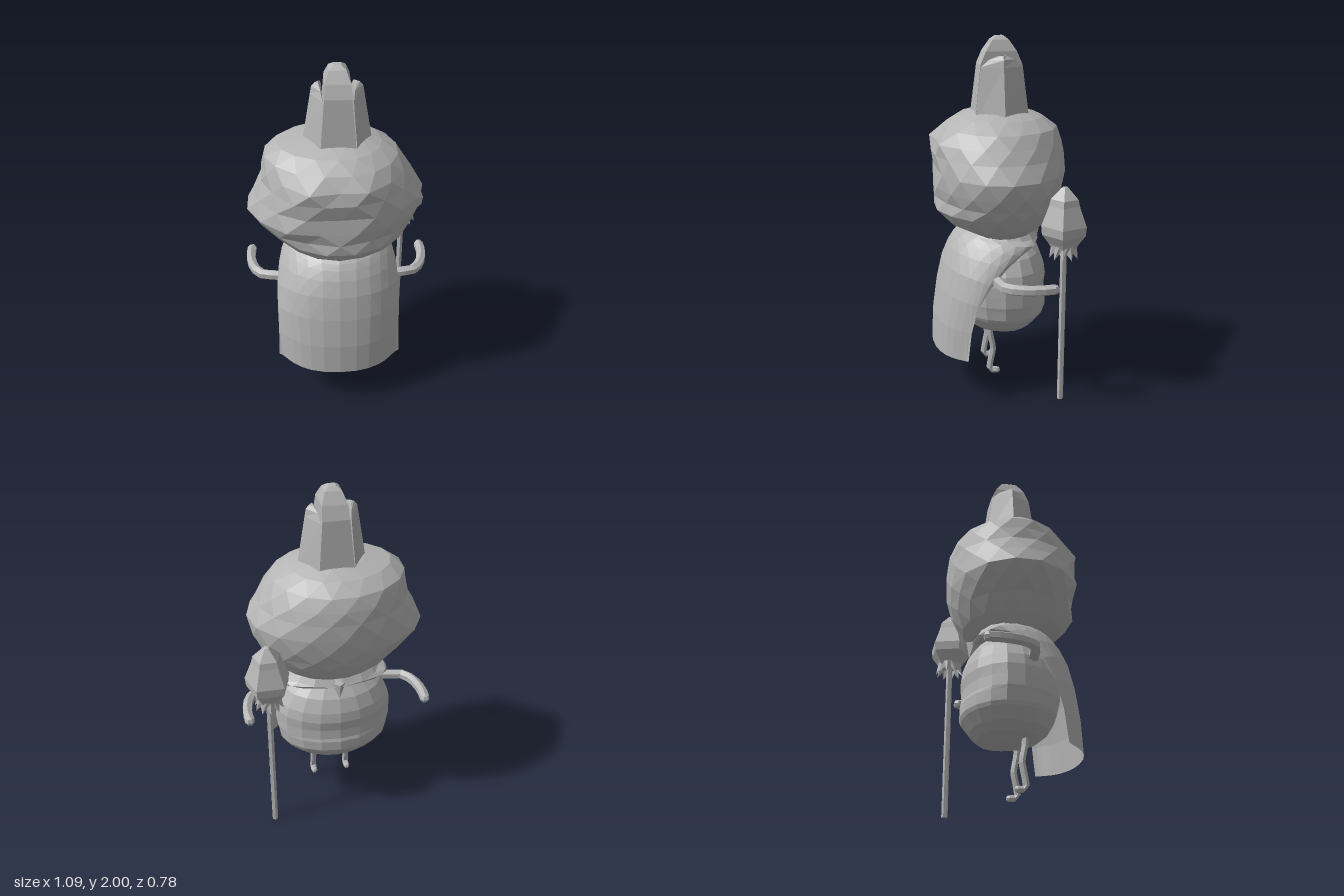
import * as THREE from 'three';

// Surface through a stack of cross-sections (lists of Vector3, lowest first).
function loft(rows, closed = true) {
  const n = rows[0].length, pos = rows.flat().flatMap(p => [p.x, p.y, p.z]), idx = [];
  for (let j = 0; j < rows.length - 1; j++) {
    for (let i = 0; i < (closed ? n : n - 1); i++) {
      const a = j * n + i, b = j * n + (i + 1) % n;
      // open sheets mirror their diagonals about the middle
      if (!closed && i >= n / 2 - 1) idx.push(a, b, a + n, b, b + n, a + n);
      else idx.push(a, b, b + n, a, b + n, a + n);
    }
  }
  if (closed) { // end caps
    [rows[0], rows[rows.length - 1]].forEach((row, k) => {
      const c = row.reduce((s, p) => s.add(p), new THREE.Vector3()).divideScalar(n);
      const ci = pos.length / 3, base = k ? (rows.length - 1) * n : 0;
      pos.push(c.x, c.y, c.z);
      for (let i = 0; i < n; i++) {
        const a = base + i, b = base + (i + 1) % n;
        if (k) idx.push(a, b, ci); else idx.push(b, a, ci);
      }
    });
  }
  const g = new THREE.BufferGeometry();
  g.setAttribute('position', new THREE.Float32BufferAttribute(pos, 3));
  g.setIndex(idx);
  g.computeVertexNormals();
  return g;
}

// Oval ring with separate extents [y, -x, +x, -z, +z]; shift turns it by part of a segment.
function ring([y, xl, xr, zb, zf], n, shift = 0) {
  return Array.from({ length: n }, (_, i) => {
    const a = (i + shift) / n * Math.PI * 2, s = Math.sin(a), c = Math.cos(a);
    return new THREE.Vector3(s * (s > 0 ? xr : xl), y, c * (c > 0 ? zf : zb));
  });
}

const section = (y, pts) => pts.map(([x, z]) => new THREE.Vector3(x, y, z));

export function createModel() {
  const model = new THREE.Group();
  model.name = 'crownedFigure';
  const grey = new THREE.MeshStandardMaterial({ color: 0xb4b4b4, flatShading: true, side: THREE.DoubleSide });
  grey.name = 'grey';
  const add = (name, geo, parent = model) => {
    const m = new THREE.Mesh(geo, grey);
    m.name = name;
    parent.add(m);
    return m;
  };

  // Lumpy head
  const headRings = [
    [0.9, 0.12, 0.12, 0.14, 0.1], [0.925, 0.26, 0.27, 0.21, 0.17], [0.98, 0.32, 0.34, 0.27, 0.29],
    [1.06, 0.39, 0.4, 0.32, 0.355], [1.12, 0.455, 0.43, 0.345, 0.34], [1.19, 0.512, 0.46, 0.365, 0.36],
    [1.28, 0.47, 0.475, 0.375, 0.365], [1.37, 0.425, 0.42, 0.37, 0.365], [1.44, 0.415, 0.38, 0.36, 0.345],
    [1.51, 0.4, 0.33, 0.33, 0.295], [1.565, 0.325, 0.24, 0.25, 0.22], [1.595, 0.18, 0.16, 0.17, 0.14],
    [1.61, 0.05, 0.05, 0.06, 0.05]];
  const headRows = headRings.map((r, j) => ring(r, 16, -j / 2));
  // lumps on the face side: [x, y, radius, push]
  const lumps = [[-0.17, 1.4, 0.09, 0.06], [0.13, 1.42, 0.08, 0.03], [0, 1.3, 0.12, -0.03],
    [0, 1.19, 0.1, 0.025], [0, 1.07, 0.08, 0.015], [-0.3, 1.17, 0.1, 0.03], [-0.3, 1.02, 0.08, -0.02]];
  for (const p of headRows.flat()) {
    if (p.z < 0.05) continue;
    for (const [x, y, r, d] of lumps) p.z += d * Math.exp(-((p.x - x) ** 2 + (p.y - y) ** 2) / (r * r));
  }
  add('head', loft(headRows));

  // Crown: broad centre blade between two side blades
  const crown = new THREE.Group();
  crown.name = 'crown';
  crown.position.z = -0.01;
  model.add(crown);
  const blade = [[1.55, 0.097, 0.15], [1.85, 0.072, 0.115], [1.92, 0.068, 0.085], [1.98, 0.045, 0.045], [2, 0.02, 0.02]];
  add('crownCentre', loft(blade.map(([y, x, z]) => section(y, [[-x, z], [x, z], [x, -z], [-x, -z]]))), crown);
  const side = [[1.55, 0.1, 0.19, 0.15], [1.84, 0.08, 0.142, 0.115], [1.88, 0.088, 0.135, 0.07], [1.9, 0.098, 0.118, 0.02]];
  for (const turn of [0, Math.PI]) {
    add('crownSide', loft(side.map(([y, xi, xo, z]) => section(y, [[xi, z], [xo, 0], [xi, -z]]))), crown)
      .rotation.y = turn;
  }

  // Round body with shallow bands
  const bodyRings = [[0.31, 0.09, 0.09, 0.06, 0.13], [0.34, 0.2, 0.2, 0.14, 0.2], [0.38, 0.26, 0.26, 0.18, 0.25],
    [0.44, 0.315, 0.315, 0.225, 0.285], [0.46, 0.325, 0.325, 0.235, 0.295], [0.52, 0.335, 0.335, 0.235, 0.31],
    [0.54, 0.34, 0.34, 0.228, 0.315], [0.6, 0.34, 0.34, 0.225, 0.32], [0.66, 0.34, 0.34, 0.233, 0.315],
    [0.72, 0.325, 0.325, 0.225, 0.3], [0.8, 0.28, 0.28, 0.195, 0.27], [0.86, 0.215, 0.215, 0.15, 0.21],
    [0.9, 0.13, 0.13, 0.1, 0.14]];
  add('body', loft(bodyRings.map(r => ring(r, 18)))).position.z = -0.04;

  // Cape: [middle y, edge y, middle z, edge z, edge x, inner pull, outer pull]
  const capeRows = [
    [0.235, 0.25, 0.39, 0.23, 0.36, 0.28, 0.31], [0.42, 0.42, 0.38, 0.21, 0.355, 0.28, 0.34],
    [0.6, 0.57, 0.355, 0.17, 0.357, 0.28, 0.36], [0.74, 0.68, 0.325, 0.1, 0.355, 0.28, 0.37],
    [0.83, 0.775, 0.29, 0.01, 0.335, 0.27, 0.375], [0.88, 0.835, 0.26, -0.08, 0.295, 0.27, 0.385],
    [0.91, 0.865, 0.235, -0.175, 0.2, 0.28, 0.41], [0.925, 0.875, 0.215, -0.225, 0.02, 0.29, 0.41],
    [0.95, 0.92, 0.18, -0.2, 0.02, 0.27, 0.36]];
  const bez = (a, b, c, d, t) => {
    const s = 1 - t;
    return a * s ** 3 + 3 * b * s * s * t + 3 * c * s * t * t + d * t ** 3;
  };
  const cape = capeRows.map(([yf, ye, zf, ze, xe, a, b]) => Array.from({ length: 17 }, (_, i) => {
    const u = i / 8 - 1, t = Math.abs(u);
    return new THREE.Vector3(Math.sign(u) * bez(0, a, b, xe, t), yf + (ye - yf) * t * t, bez(zf, zf, ze, ze, t));
  }));
  add('cape', loft(cape, false));

  // Knot fastening the cape
  const knot = add('capeKnot', new THREE.ConeGeometry(0.04, 0.09, 4));
  knot.position.set(0, 0.85, -0.22);
  knot.rotation.x = Math.PI + 0.25;

  // Arms and legs, mirrored
  for (const s of [1, -1]) {
    const limb = (name, pts, r, seg) => {
      const path = new THREE.CatmullRomCurve3(pts.map(([x, y, z]) => new THREE.Vector3(s * x, y, z)), false, 'catmullrom', 0.2);
      add(name, new THREE.TubeGeometry(path, seg, r, 6));
      add(name + 'Tip', new THREE.SphereGeometry(r * 0.95, 6, 4)).position.copy(path.points[pts.length - 1]);
    };
    limb('arm', [[0.28, 0.715, 0.07], [0.44, 0.715, 0.045], [0.495, 0.715, -0.02], [0.518, 0.715, -0.13], [0.513, 0.715, -0.215]], 0.03, 8);
    limb('leg', [[0.105, 0.38, 0.065], [0.105, 0.29, 0.062], [0.105, 0.2, 0.045], [0.105, 0.12, 0.06], [0.105, 0.06, 0.068],
      [0.105, 0.053, 0.045], [0.105, 0.053, 0.02]], 0.019, 12);
  }

  // Staff with a five-sided bud and a ragged skirt
  const staff = new THREE.Group();
  staff.name = 'staff';
  staff.position.set(0.407, 0, -0.287);
  model.add(staff);
  add('staffPole', new THREE.CylinderGeometry(0.018, 0.018, 0.95, 6), staff).position.y = 0.475;
  const bud = [[0, 0.9], [0.068, 0.91], [0.085, 0.94], [0.122, 0.99], [0.127, 1.04], [0.1, 1.11], [0.085, 1.15],
    [0.077, 1.185], [0.018, 1.245], [0, 1.25]];
  add('staffBud', new THREE.LatheGeometry(bud.map(p => new THREE.Vector2(...p)), 5), staff);
  const skirt = [0, 1].map(j => Array.from({ length: 21 }, (_, i) => {
    const a = i / 20 * Math.PI * 2, r = j ? 0.068 : (i % 2 ? 0.062 : 0.08);
    return new THREE.Vector3(r * Math.sin(a), j ? 0.93 : (i % 2 ? 0.89 : 0.857), r * Math.cos(a));
  }));
  add('staffSkirt', loft(skirt, false), staff);

  return model;
}
